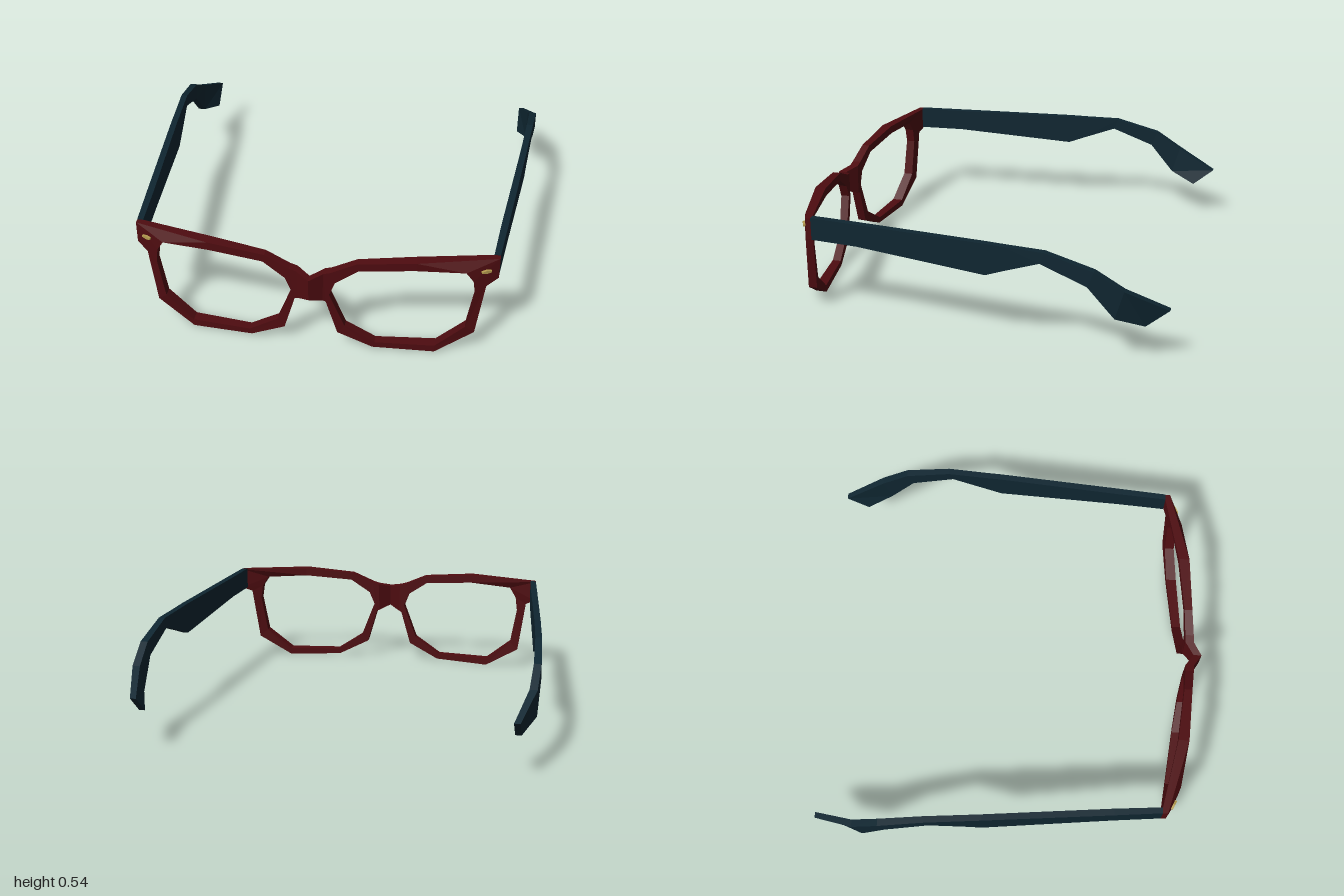
import * as THREE from 'three';

const red = new THREE.MeshStandardMaterial({ color: 0x4e0c10, flatShading: true });
red.name = 'dark red frame';
const navy = new THREE.MeshStandardMaterial({ color: 0x0f2631, flatShading: true });
navy.name = 'dark blue temples';
const gold = new THREE.MeshStandardMaterial({ color: 0xb39a4e, flatShading: true });
gold.name = 'gold rivets';

// Joins four-cornered sections into a faceted solid; side -1 mirrors it in x.
function loft(sections, closed, side = 1) {
  const pos = [];
  const tri = (a, b, c) => {
    for (const p of side > 0 ? [a, b, c] : [a, c, b]) pos.push(p[0] * side, p[1], p[2]);
  };
  const quad = (a, b, c, d) => { tri(a, b, c); tri(a, c, d); };
  const n = sections.length;
  for (let i = 0; i < (closed ? n : n - 1); i++) {
    const s = sections[i], t = sections[(i + 1) % n];
    for (let j = 0; j < 4; j++) {
      const k = (j + 1) % 4;
      quad(s[j], s[k], t[k], t[j]);
    }
  }
  if (!closed) {
    quad(...[...sections[0]].reverse());
    quad(...sections[n - 1]);
  }
  const g = new THREE.BufferGeometry();
  g.setAttribute('position', new THREE.Float32BufferAttribute(pos, 3));
  g.computeVertexNormals();
  return g;
}

// Wrap of the frame: x, back z, front z
const wrap = [
  [0, 0.94, 0.982], [0.065, 0.895, 0.94], [0.12, 0.893, 0.937], [0.2, 0.885, 0.925],
  [0.5, 0.85, 0.905], [0.7, 0.825, 0.88], [0.8, 0.802, 0.845], [0.88, 0.768, 0.8],
];
function wrapZ(x, col) {
  const ax = Math.abs(x);
  let i = 1;
  while (i < wrap.length - 1 && wrap[i][0] < ax) i++;
  const a = wrap[i - 1], b = wrap[i];
  return THREE.MathUtils.lerp(a[col], b[col], Math.min(1, (ax - a[0]) / (b[0] - a[0])));
}
const frontPt = (x, y) => [x, y, wrapZ(x, 2)];
const backPt = (x, y) => [x, y, wrapZ(x, 1)];
const frameSection = ([ox, oy, ix, iy]) =>
  [frontPt(ox, oy), frontPt(ix, iy), backPt(ix, iy), backPt(ox, oy)];

// Rim: outer x, y and inner x, y, clockwise from the bridge
const rim = [
  [0.1, 0.465, 0.12, 0.405], [0.22, 0.52, 0.23, 0.48], [0.5, 0.545, 0.5, 0.502],
  [0.88, 0.542, 0.73, 0.49], [0.88, 0.43, 0.765, 0.435], [0.826, 0.405, 0.775, 0.36],
  [0.785, 0.12, 0.74, 0.16], [0.6, 0.005, 0.6, 0.042], [0.3, 0.015, 0.31, 0.045],
  [0.13, 0.1, 0.165, 0.14], [0.075, 0.29, 0.09, 0.335],
];

// Bridge: top x, y and bottom x, y
const bridge = [
  [-0.1, 0.465, -0.075, 0.29], [-0.065, 0.455, -0.06, 0.297], [0, 0.437, 0, 0.322],
  [0.065, 0.455, 0.06, 0.297], [0.1, 0.465, 0.075, 0.29],
];

// Temple: top z, y, bottom z, y, then outer and inner x
const temple = [
  [0.775, 0.545, 0.775, 0.43, 0.88, 0.85], [0.535, 0.545, 0.535, 0.43, 0.902, 0.868],
  [-0.12, 0.545, -0.12, 0.385, 0.96, 0.928], [-0.21, 0.543, -0.21, 0.42, 0.967, 0.935],
  [-0.405, 0.541, -0.385, 0.485, 0.983, 0.95], [-0.64, 0.478, -0.61, 0.4, 0.997, 0.96],
  [-0.78, 0.393, -0.74, 0.25, 0.99, 0.952], [-0.985, 0.295, -0.875, 0.2, 0.93, 0.9],
];
const templeSection = ([tz, ty, bz, by, o, i]) =>
  [[o, ty, tz], [o, by, bz], [i, by, bz], [i, ty, tz]];

export function createModel() {
  const model = new THREE.Group();
  model.name = 'glasses';
  const add = (name, geometry, material) => {
    const mesh = new THREE.Mesh(geometry, material);
    mesh.name = name;
    model.add(mesh);
    return mesh;
  };

  add('bridge', loft(bridge.map(frameSection), false), red);

  for (const side of [1, -1]) {
    const label = side > 0 ? 'left' : 'right';
    add(label + 'Rim', loft(rim.map(frameSection), true, side), red);
    add(label + 'Temple', loft(temple.map(templeSection), false, side), navy);

    // Flattened rivet on the slanted front corner
    const rivetShape = new THREE.CylinderGeometry(1, 1, 0.018, 6).rotateX(Math.PI / 2).scale(0.028, 0.009, 1);
    const rivet = add(label + 'Rivet', rivetShape, gold);
    rivet.position.set(side * 0.82, 0.485, 0.832);
    rivet.rotation.y = side * 0.46;
  }
  return model;
}
